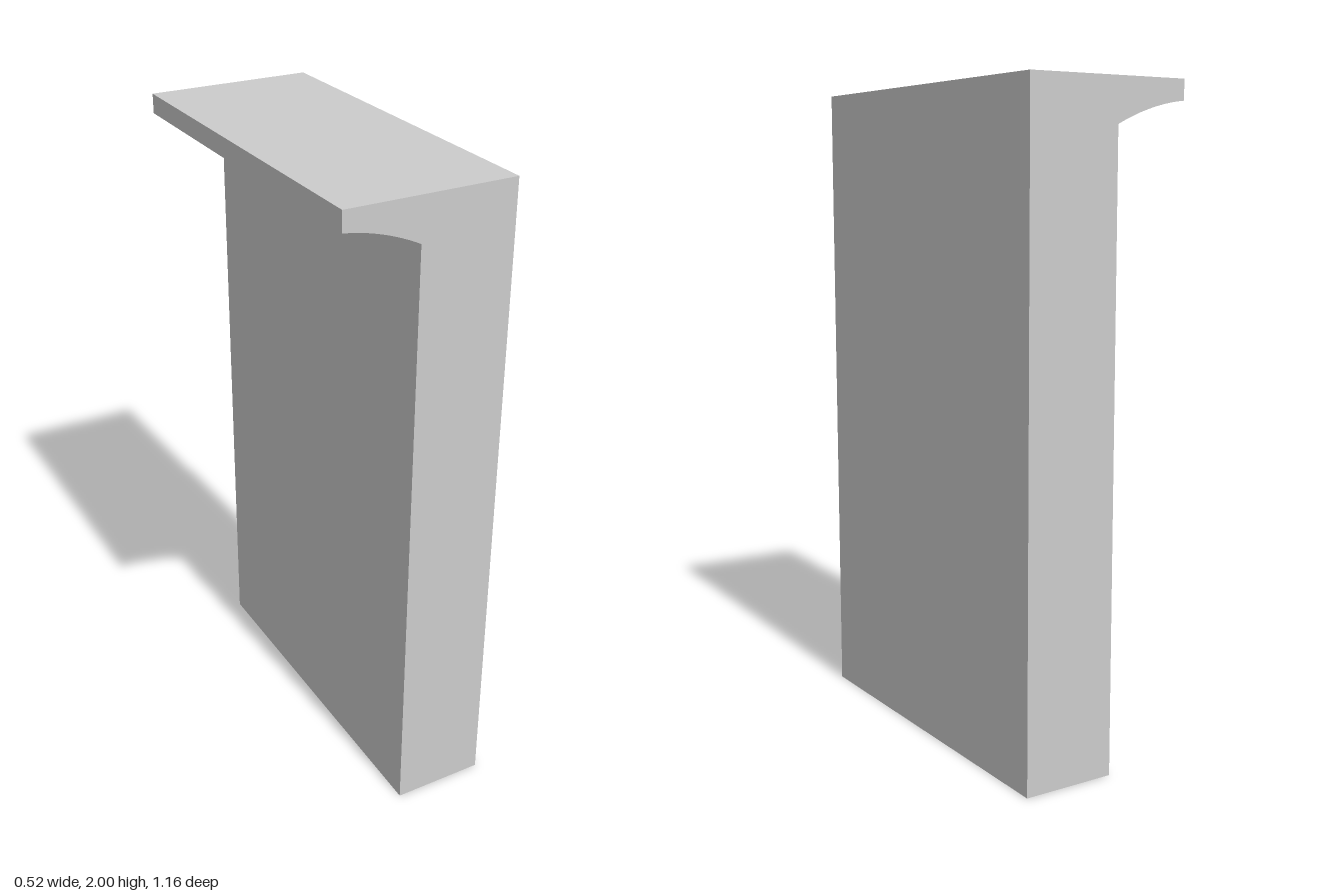
import * as THREE from 'three';

export function createModel() {
  const group = new THREE.Group();
  group.name = 'wallSection';

  const depth = 1.165;
  const height = 2;
  const halfWidth = 0.26; // overall, including the ledge
  const wallInner = -0.03; // wall face under the ledge

  // Wall profile with a curved ledge overhanging at the top
  const profile = new THREE.Shape();
  profile.moveTo(wallInner, 0);
  profile.lineTo(halfWidth, 0);
  profile.lineTo(halfWidth, height);
  profile.lineTo(-halfWidth, height);
  profile.lineTo(-halfWidth, 1.94);
  profile.quadraticCurveTo(-0.145, 1.928, wallInner, 1.87);
  profile.closePath();

  const geometry = new THREE.ExtrudeGeometry(profile, {
    depth,
    bevelEnabled: false,
    curveSegments: 12,
  });
  geometry.translate(0, 0, -depth / 2);

  const wall = new THREE.Mesh(geometry, new THREE.MeshStandardMaterial({ color: 0xcccccc }));
  wall.name = 'wallWithLedge';
  group.add(wall);

  return group;
}
